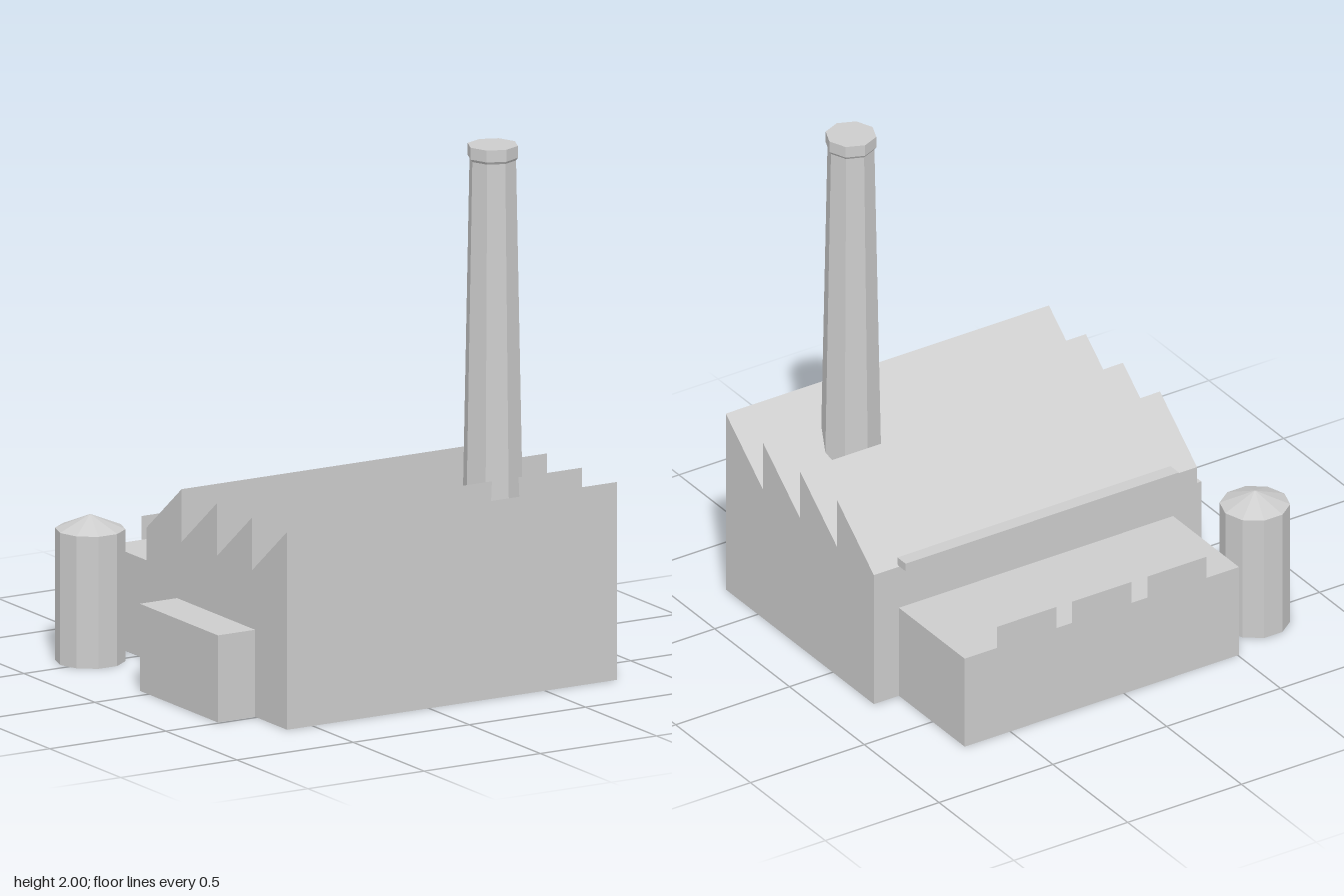
import * as THREE from 'three';

const concrete = new THREE.MeshStandardMaterial({ color: 0xcccccc, flatShading: true, side: THREE.DoubleSide });
concrete.name = 'concrete grey';

// Drops the faces lying on the ground, leaving a shell open below
function openBottom(geometry) {
  const flat = geometry.index ? geometry.toNonIndexed() : geometry;
  const p = flat.attributes.position;
  const kept = [];
  for (let i = 0; i < p.count; i += 3) {
    if ([0, 1, 2].every((k) => Math.abs(p.getY(i + k)) < 1e-5)) continue;
    for (let k = 0; k < 3; k++) kept.push(p.getX(i + k), p.getY(i + k), p.getZ(i + k));
  }
  const shell = new THREE.BufferGeometry();
  shell.setAttribute('position', new THREE.Float32BufferAttribute(kept, 3));
  shell.computeVertexNormals();
  return shell;
}

function block(x0, x1, y0, y1, z0, z1) {
  return new THREE.BoxGeometry(x1 - x0, y1 - y0, z1 - z0)
    .translate((x0 + x1) / 2, (y0 + y1) / 2, (z0 + z1) / 2);
}

function lathe(points, sides) {
  return new THREE.LatheGeometry(points.map(([r, y]) => new THREE.Vector2(r, y)), sides);
}

export function createModel() {
  const model = new THREE.Group();
  model.name = 'factory';
  const add = (name, geometry) => {
    const mesh = new THREE.Mesh(geometry, concrete);
    mesh.name = name;
    model.add(mesh);
    return mesh;
  };

  // Main hall: sawtooth profile in z and y, extruded along x
  const front = 0.715, back = -0.275, teeth = 4;
  const step = (front - back) / teeth;
  const profile = new THREE.Shape();
  profile.moveTo(back, 0);
  profile.lineTo(front, 0);
  for (let i = 0; i < teeth; i++) {
    profile.lineTo(front - i * step, 0.75);
    profile.lineTo(front - (i + 1) * step, 0.55);
  }
  profile.closePath();
  const hall = new THREE.ExtrudeGeometry(profile, { depth: 1.42, bevelEnabled: false });
  hall.rotateY(-Math.PI / 2).translate(0.81, 0, 0);
  add('mainHall', openBottom(hall));

  // Gutter beam along the back eave
  add('gutterBeam', block(-0.5, 0.7, 0.553, 0.585, -0.32, -0.265));

  // Low annexes behind and beside the hall
  add('backAnnex', openBottom(block(-0.505, 0.7, 0, 0.375, -0.715, -0.275)));
  add('sideAnnex', openBottom(block(-0.77, -0.61, 0, 0.33, -0.06, 0.49)));

  // Three thin parapet panels on the annex's back edge
  for (let i = -1; i <= 1; i++) {
    add('parapetPanel', new THREE.PlaneGeometry(0.26, 0.09).rotateY(Math.PI))
      .position.set(0.0975 + i * 0.33, 0.42, -0.715);
  }

  // Chimney with flared foot and rim
  add('chimney', lathe([[0.154, 0], [0.118, 0.4], [0.088, 1.945], [0.095, 1.955], [0.095, 2], [0, 2]], 8))
    .position.set(0.48, 0, 0.38);

  // Storage tank with a conical roof
  const tank = add('storageTank', lathe([[0.13, 0], [0.13, 0.5], [0, 0.555]], 10));
  tank.position.set(-0.69, 0, -0.54);
  tank.rotation.y = Math.PI / 2;

  return model;
}
